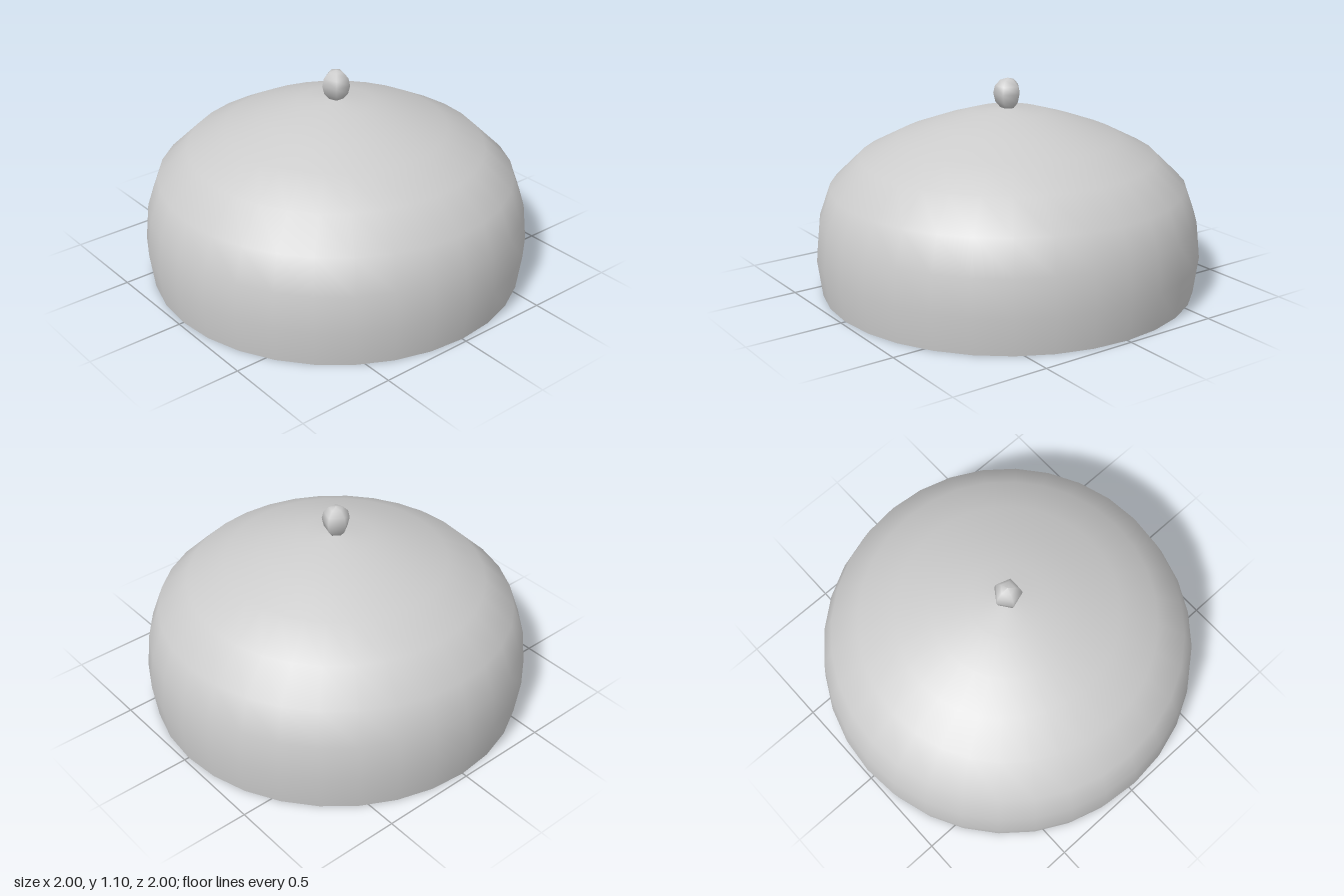
import * as THREE from 'three';

// Turn a [radius, height] profile, listed from bottom to top
function turned(name, profile, sides, start, material) {
  const points = profile.map(([r, y]) => new THREE.Vector2(r, y));
  const mesh = new THREE.Mesh(new THREE.LatheGeometry(points, sides, start), material);
  mesh.name = name;
  return mesh;
}

export function createModel() {
  const group = new THREE.Group();
  group.name = 'domeLid';

  // Thin dome, open at the bottom
  const shell = new THREE.MeshStandardMaterial({ color: 0xcccccc, side: THREE.DoubleSide });
  group.add(turned('dome', [
    [0.975, 0], [1, 0.19], [0.98, 0.38], [0.92, 0.55], [0.765, 0.7],
    [0.57, 0.8], [0.38, 0.87], [0.195, 0.927], [0, 0.945],
  ], 32, 0, shell));

  // Five-sided knob with one corner toward the back
  const solid = new THREE.MeshStandardMaterial({ color: 0xcccccc });
  group.add(turned('knob', [
    [0, 0.938], [0.037, 0.946], [0.063, 0.976], [0.074, 1.02],
    [0.065, 1.06], [0.037, 1.09], [0, 1.1],
  ], 5, Math.PI, solid));

  return group;
}
